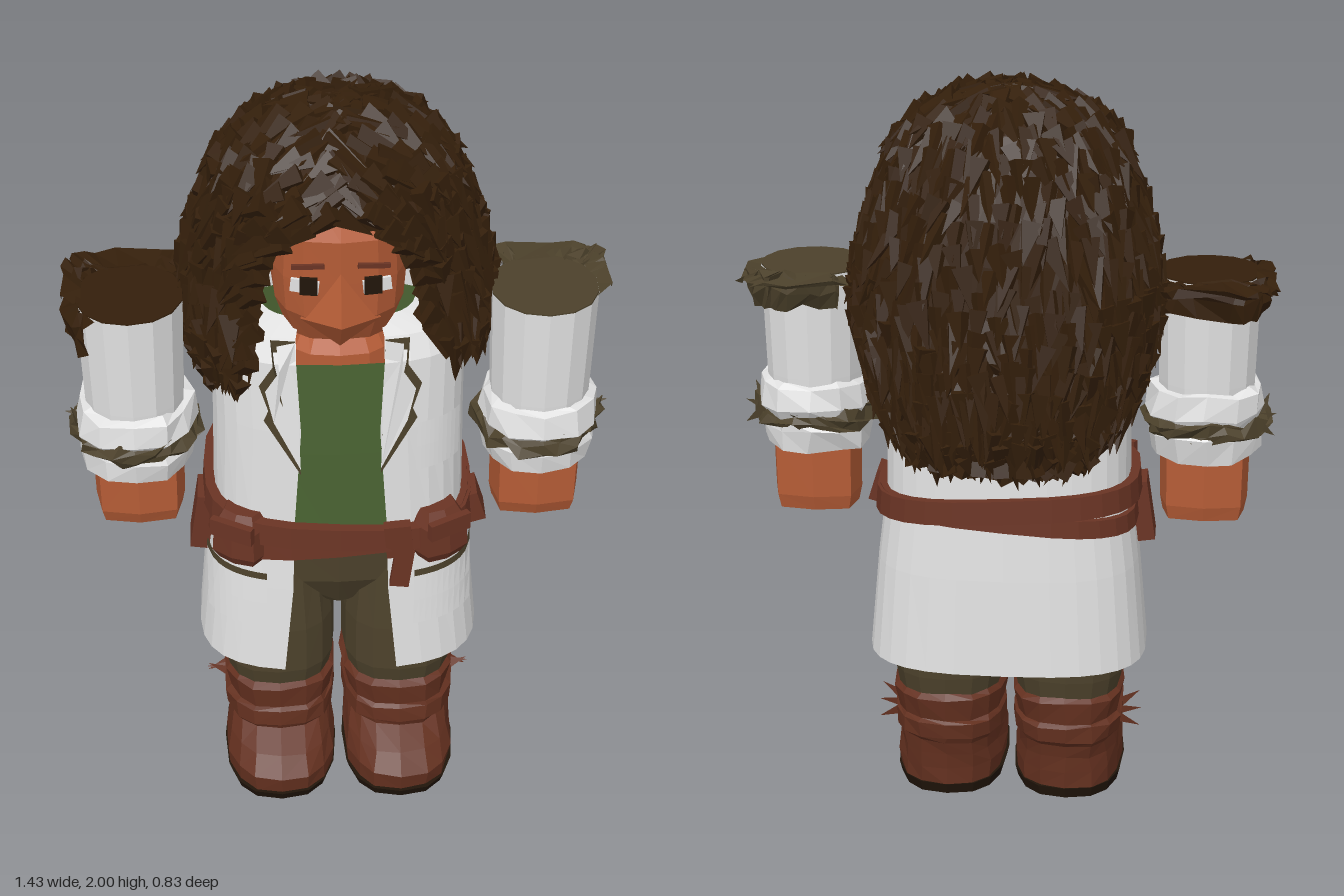
import * as THREE from 'three';
import { mergeGeometries } from 'three/addons/utils/BufferGeometryUtils.js';

const mat = (name, color) => new THREE.MeshStandardMaterial({ name, color, side: THREE.DoubleSide });
const TAU = Math.PI * 2;
const lerp = THREE.MathUtils.lerp;

// small seeded noise source
let seed = 7;
const rnd = () => ((seed = (seed * 16807) % 2147483647) / 2147483647);
const jit = (k) => (rnd() - 0.5) * 2 * k;

const flat = (g) => {
  const f = g.index ? g.toNonIndexed() : g;
  f.computeVertexNormals();
  return f;
};

// point on a rounded-box ring; row = [y, half width, front z, back z], angle 0 faces front
function ringPoint([y, w, zf, zb], a, p) {
  const pw = (t) => Math.sign(t) * Math.abs(t) ** (2 / p);
  return new THREE.Vector3(w * pw(Math.sin(a)), y, (zf + zb) / 2 + pw(Math.cos(a)) * (zf - zb) / 2);
}

// skin over stacked rings; arc(row) limits the angles, rough jitters the vertices
function loft(rows, { n = 16, p = 2.6, arc = () => [0, TAU], cap = false, rough = 0 } = {}) {
  const pos = [], idx = [];
  rows.forEach((r) => {
    const [a0, a1] = arc(r);
    for (let j = 0; j <= n; j++) {
      const v = ringPoint(r, lerp(a0, a1, j / n), p);
      if (rough && j > 0 && j < n) v.add(new THREE.Vector3(jit(rough), jit(rough), jit(rough)));
      pos.push(v.x, v.y, v.z);
    }
  });
  const w = n + 1;
  for (let i = 0; i < rows.length - 1; i++)
    for (let j = 0; j < n; j++) {
      const a = i * w + j;
      idx.push(a, a + 1, a + w, a + 1, a + w + 1, a + w);
    }
  if (cap) [0, rows.length - 1].forEach((i) => {
    const [y, , zf, zb] = rows[i], c = pos.length / 3;
    pos.push(0, y, (zf + zb) / 2);
    for (let j = 0; j < n; j++) idx.push(...(i ? [c, i * w + j, i * w + j + 1] : [c, j + 1, j]));
  });
  const g = new THREE.BufferGeometry();
  g.setAttribute('position', new THREE.Float32BufferAttribute(pos, 3));
  g.setIndex(idx);
  return flat(g);
}

const coatRows = [[0.43, 0.38, 0.345, -0.2, 0.15], [0.7, 0.355, 0.33, -0.185, 0.125], [0.9, 0.33, 0.315, -0.17, 0.12],
  [1.2, 0.325, 0.305, -0.16, 0.1], [1.4, 0.325, 0.29, -0.15, 0.11], [1.46, 0.31, 0.26, -0.14, 0.11], [1.48, 0.2, 0.2, -0.1, 0.1]];

function sample(rows, v) {
  const i = Math.min(Math.floor(v), rows.length - 2);
  return rows[i].map((q, k) => lerp(q, rows[i + 1][k], v - i));
}
function coatZ(x, y) {
  const i = Math.max(0, Math.min(coatRows.length - 2, coatRows.findIndex((r) => r[0] > y) - 1));
  const [, w, zf, zb] = sample(coatRows, i + (y - coatRows[i][0]) / (coatRows[i + 1][0] - coatRows[i][0]));
  return (zf + zb) / 2 + (zf - zb) / 2 * (1 - Math.min(1, Math.abs(x) / w) ** 3) ** (1 / 3);
}
// lay a flat sheet onto the front of the coat
function drape(g, off) {
  const q = g.attributes.position;
  for (let i = 0; i < q.count; i++) {
    q.setZ(i, coatZ(q.getX(i), q.getY(i)) + off);
    q.setX(i, q.getX(i) * 1.02);
  }
  return flat(g);
}
const panel = (points, off) =>
  drape(new THREE.ShapeGeometry(new THREE.Shape(points.map(([x, y]) => new THREE.Vector2(x, y)))), off);
const patch = (x0, x1, y0, y1, off) =>
  drape(new THREE.PlaneGeometry(x1 - x0, y1 - y0, 10, 2).translate((x0 + x1) / 2, (y0 + y1) / 2, 0), off);

// hair rows: y, half width, front z, back z, face gap on the left and on the right (degrees)
const hairRows = [[1.985, 0.001, 0.001, -0.001, 0, 0], [1.96, 0.14, 0.15, -0.13, 0, 0], [1.9, 0.245, 0.255, -0.21, 0, 0],
  [1.83, 0.3, 0.305, -0.255, 0, 0], [1.72, 0.335, 0.3, -0.3, 26, 26], [1.6, 0.375, 0.285, -0.33, 29, 29],
  [1.48, 0.395, 0.3, -0.355, 30, 30], [1.38, 0.39, 0.335, -0.375, 42, 33], [1.3, 0.37, 0.335, -0.385, 88, 38],
  [1.22, 0.345, 0.3, -0.385, 102, 62], [1.14, 0.315, 0.2, -0.375, 112, 108], [1.08, 0.27, 0.1, -0.345, 122, 122],
  [1.05, 0.2, 0, -0.24, 125, 125]];
const hairArc = (r) => [r[4] * Math.PI / 180, TAU - r[5] * Math.PI / 180];

function hairTufts() {
  const parts = [], up = new THREE.Vector3(0, 1, 0);
  for (let v = 0.3; v < hairRows.length - 1; v += 0.45) {
    const row = sample(hairRows, v), next = sample(hairRows, Math.min(v + 0.1, hairRows.length - 1));
    const [a0, a1] = hairArc(row);
    const inset = v > 2.5 ? 0.09 : 0;
    const count = Math.ceil((a1 - a0) * (row[1] + 0.05) / 0.056);
    for (let j = 0; j <= count; j++) {
      const a = lerp(a0 + inset, a1 - inset, (j + jit(0.3)) / count);
      const at = ringPoint(row, a, 2.1);
      const out = new THREE.Vector3(at.x, 0.05, at.z + 0.03).normalize();
      const dir = ringPoint(next, a, 2.1).sub(at).normalize().addScaledVector(out, 0.24 + jit(0.2));
      // curls sweep sideways, away from the parting
      const sweep = jit(0.35) + (Math.cos(a) > 0.75 ? Math.sign(Math.sin(a)) * 1.1 : 0);
      dir.add(new THREE.Vector3(Math.cos(a) * sweep, 0, -Math.sin(a) * sweep)).normalize();
      const g = new THREE.ConeGeometry(0.034 + jit(0.008), 0.11 + jit(0.03), 4);
      g.rotateY(rnd() * 3).applyQuaternion(new THREE.Quaternion().setFromUnitVectors(up, dir));
      at.addScaledVector(dir, 0.02);
      parts.push(g.translate(at.x, at.y, at.z));
    }
  }
  const m = mergeGeometries(parts), q = m.attributes.position;
  for (let i = 0; i < q.count; i++) q.setY(i, Math.min(q.getY(i), 2));
  return flat(m);
}

export function createModel() {
  const hair = mat('dark brown hair', 0x341f0b), white = mat('white cloth', 0xe2e2e2), skin = mat('skin', 0xb55c36);
  const green = mat('green shirt', 0x4b6433), olive = mat('olive cloth', 0x4c412b), boot = mat('boot leather', 0x63301f);
  const leather = mat('belt leather', 0x6a3424), dark = mat('dark sole', 0x21150a);
  const root = new THREE.Group();
  const add = (name, g, m, parent = root) => {
    const mesh = new THREE.Mesh(g, m);
    mesh.name = name;
    parent.add(mesh);
    return mesh;
  };
  const box = (name, m, size, at, parent, rz = 0) => {
    const b = add(name, new THREE.BoxGeometry(...size), m, parent);
    b.position.set(...at);
    b.rotation.z = rz;
    return b;
  };

  // head and face
  add('head', loft([[1.415, 0.09, 0.2, -0.05], [1.45, 0.14, 0.25, -0.1], [1.55, 0.168, 0.305, -0.15], [1.65, 0.175, 0.308, -0.15],
    [1.77, 0.168, 0.31, -0.15], [1.85, 0.1, 0.27, -0.1]], { p: 3, cap: true }), skin);
  const nose = new THREE.BufferGeometry();
  nose.setAttribute('position', new THREE.Float32BufferAttribute(
    [0, 1.55, 0.352, 0, 1.69, 0.306, -0.1, 1.54, 0.285, 0.1, 1.54, 0.285, 0, 1.44, 0.262], 3));
  nose.setIndex([0, 1, 2, 0, 3, 1, 0, 2, 4, 0, 4, 3]);
  add('nose', flat(nose), skin);
  for (const s of [-1, 1]) {
    box('eyeWhite', white, [0.07, 0.036, 0.008], [s * 0.088, 1.648, 0.305], root, s * 0.1).rotation.y = s * 0.15;
    box('iris', dark, [0.043, 0.048, 0.008], [s * 0.078, 1.65, 0.31], root).rotation.y = s * 0.15;
    box('eyebrow', leather, [0.08, 0.012, 0.008], [s * 0.08, 1.705, 0.308], root, s * -0.1).rotation.y = s * 0.15;
  }
  add('neck', loft([[1.3, 0.15, 0.255, -0.1], [1.4, 0.14, 0.25, -0.1], [1.47, 0.1, 0.2, -0.08]], { p: 3 }), skin);

  // hair shell with curls laid over it
  add('hairShell', loft(hairRows, { n: 40, p: 2.1, arc: hairArc, rough: 0.01 }), hair);
  add('hairCurls', hairTufts(), hair);

  // torso and open coat
  add('shirt', loft([[0.77, 0.27, 0.26, -0.13], [1.1, 0.27, 0.265, -0.13], [1.38, 0.27, 0.262, -0.12]], { p: 3.2 }), green);
  add('hips', loft([[0.55, 0.05, 0.2, -0.06], [0.66, 0.28, 0.25, -0.11], [0.8, 0.28, 0.255, -0.13]], { p: 3, cap: true }), olive);
  add('coat', loft(coatRows, { n: 28, p: 3, arc: (r) => {
    const a = Math.asin((r[4] / r[1]) ** 1.5);
    return [a, TAU - a];
  } }), white);
  for (const s of [-1, 1]) {
    const p = (pts) => pts.map(([x, y]) => [x * s, y]);
    add('lapelTrim', panel(p([[0.11, 1.46], [0.17, 1.46], [0.165, 1.4], [0.2, 1.34], [0.178, 1.27], [0.19, 1.24], [0.1, 1.08]]), 0.012), olive);
    add('lapel', panel(p([[0.11, 1.46], [0.155, 1.45], [0.15, 1.39], [0.185, 1.33], [0.165, 1.24], [0.1, 1.1]]), 0.018), white);
    const [x0, x1] = s > 0 ? [0.19, 0.345] : [-0.345, -0.19];
    add('pocketSlit', patch(x0, x1, 0.74, 0.76, 0.016), olive);
    add('coatPocket', patch(x0, x1, 0.58, 0.735, 0.01), white);
  }
  add('chestPocket', patch(0.19, 0.3, 1.08, 1.225, 0.015), white);

  // two crossing belts, with pouches and loose ends
  const belt = (y, h, tilt, grow) => {
    const g = loft([[-h, 0.34, 0.328, -0.182], [-h, 0.34 + grow, 0.33 + grow, -0.184 - grow],
      [h, 0.335 + grow, 0.325 + grow, -0.18 - grow], [h, 0.33, 0.318, -0.176]], { n: 28, p: 3 });
    const q = g.attributes.position;
    for (let i = 0; i < q.count; i++) q.setY(i, q.getY(i) + y + tilt * q.getX(i) - 0.04 * q.getZ(i));
    return flat(g);
  };
  add('upperBelt', belt(0.895, 0.032, -0.06, 0.02), leather);
  add('lowerBelt', belt(0.86, 0.024, 0.08, 0.012), leather);
  for (const s of [-1, 1]) {
    const pouch = new THREE.Group();
    pouch.name = 'pouch';
    pouch.position.set(s * 0.25, 0, 0.265);
    pouch.rotation.y = s * 0.5;
    root.add(pouch);
    add('pouchBody', loft([[0.79, 0.06, 0.06, -0.05], [0.82, 0.075, 0.075, -0.05], [0.9, 0.07, 0.07, -0.05], [0.94, 0.05, 0.04, -0.05]],
      { n: 8, p: 3.5, cap: true }), leather, pouch);
    box('pouchFlap', leather, [0.12, 0.05, 0.02], [0, 0.905, 0.066], pouch);
  }
  box('buckle', leather, [0.07, 0.1, 0.03], [0.15, 0.87, 0.33], root, 0.1);
  box('beltEnd', leather, [0.05, 0.12, 0.02], [0.16, 0.78, 0.335], root, -0.12);
  box('hangingStrap', leather, [0.05, 0.17, 0.1], [-0.36, 0.81, 0.12], root, -0.15);
  box('sideKnot', leather, [0.05, 0.09, 0.09], [0.355, 0.85, 0.14], root, 0.3);

  // legs and boots
  for (const s of [-1, 1]) {
    const leg = new THREE.Group();
    leg.name = s > 0 ? 'leftLeg' : 'rightLeg';
    leg.position.x = s * 0.165;
    leg.scale.x = s;
    root.add(leg);
    add('trouserLeg', loft([[0.28, 0.14, 0.26, -0.08], [0.36, 0.155, 0.275, -0.09], [0.5, 0.155, 0.27, -0.09], [0.7, 0.135, 0.25, -0.1]]), olive, leg);
    add('boot', loft([[0.03, 0.15, 0.405, -0.075], [0.08, 0.152, 0.41, -0.08], [0.125, 0.145, 0.36, -0.08], [0.165, 0.14, 0.29, -0.085],
      [0.18, 0.153, 0.295, -0.095], [0.225, 0.156, 0.29, -0.098], [0.235, 0.145, 0.28, -0.09], [0.3, 0.158, 0.285, -0.1],
      [0.315, 0.14, 0.26, -0.08]], { rough: 0.004 }), boot, leg);
    add('sole', loft([[0, 0.148, 0.4, -0.07], [0.032, 0.156, 0.415, -0.08]], { cap: true }), dark, leg);
    for (let i = 0; i < 3; i++) {
      const spike = add('bootLaceEnd', flat(new THREE.ConeGeometry(0.02, 0.08, 3)), boot, leg);
      spike.position.set(0.165, 0.19 + i * 0.02, 0.05 + i * 0.03);
      spike.rotation.z = -2 + i * 0.5;
    }
  }

  // arms: sleeve, rolled cuff, torn trim, fist and frayed shoulder
  for (const s of [-1, 1]) {
    const arm = new THREE.Group();
    arm.name = s > 0 ? 'leftArm' : 'rightArm';
    arm.position.set(s * 0.525, 0, 0.09);
    arm.scale.x = s;
    root.add(arm);
    const ring = (y, r) => [y, r, r, -r];
    const fray = s > 0 ? olive : hair;
    add('sleeve', loft([ring(1.1, 0.125), ring(1.2, 0.13), ring(1.49, 0.138)], { n: 14, p: 2.1 }), white, arm);
    add('cuff', loft([ring(0.99, 0.12), ring(1.0, 0.145), ring(1.06, 0.155), ring(1.09, 0.14), ring(1.12, 0.16), ring(1.18, 0.15), ring(1.19, 0.125)],
      { n: 12, p: 2.2, rough: 0.008 }), white, arm);
    add('cuffTrim', loft([ring(1.06, 0.15), ring(1.075, 0.165), ring(1.105, 0.163), ring(1.115, 0.15)], { n: 22, p: 2.1, rough: 0.016 }), olive, arm);
    for (let i = 0; i < 3; i++) {
      const tip = add('trimTip', flat(new THREE.ConeGeometry(0.022, 0.07, 3)), olive, arm);
      tip.position.set(0.155, 1.08 + i * 0.02, -0.07 + i * 0.04);
      tip.rotation.z = -2.2 + i * 0.9;
    }
    add('fist', loft([[0.82, 0.11, 0.085, -0.1], [0.86, 0.118, 0.1, -0.11], [1.01, 0.12, 0.1, -0.11]], { n: 8, p: 4, cap: true }), skin, arm);
    add('shoulderCap', loft([ring(1.485, 0.137), ring(1.493, 0.137)], { n: 14, p: 2.1, cap: true }), fray, arm);
    add('shoulderFray', loft([ring(1.488, 0.125), ring(1.492, 0.165), ring(1.45, 0.165), ring(1.405, 0.152)],
      { n: 14, p: 3.5, arc: () => (s > 0 ? [1.85, 3.5] : [0.5, 4]), rough: 0.016 }), fray, arm);
    // ragged sheet sticking out behind and beside the shoulder
    const flap = loft([ring(1.488, 0.12), [1.49, 0.175, 0.06, -0.205], [1.478, 0.172, 0.06, -0.2]],
      { n: 12, p: 5, arc: () => [1.4, 3.7], rough: 0.01 });
    add('shoulderFlap', flap, fray, arm);
  }
  return root;
}
